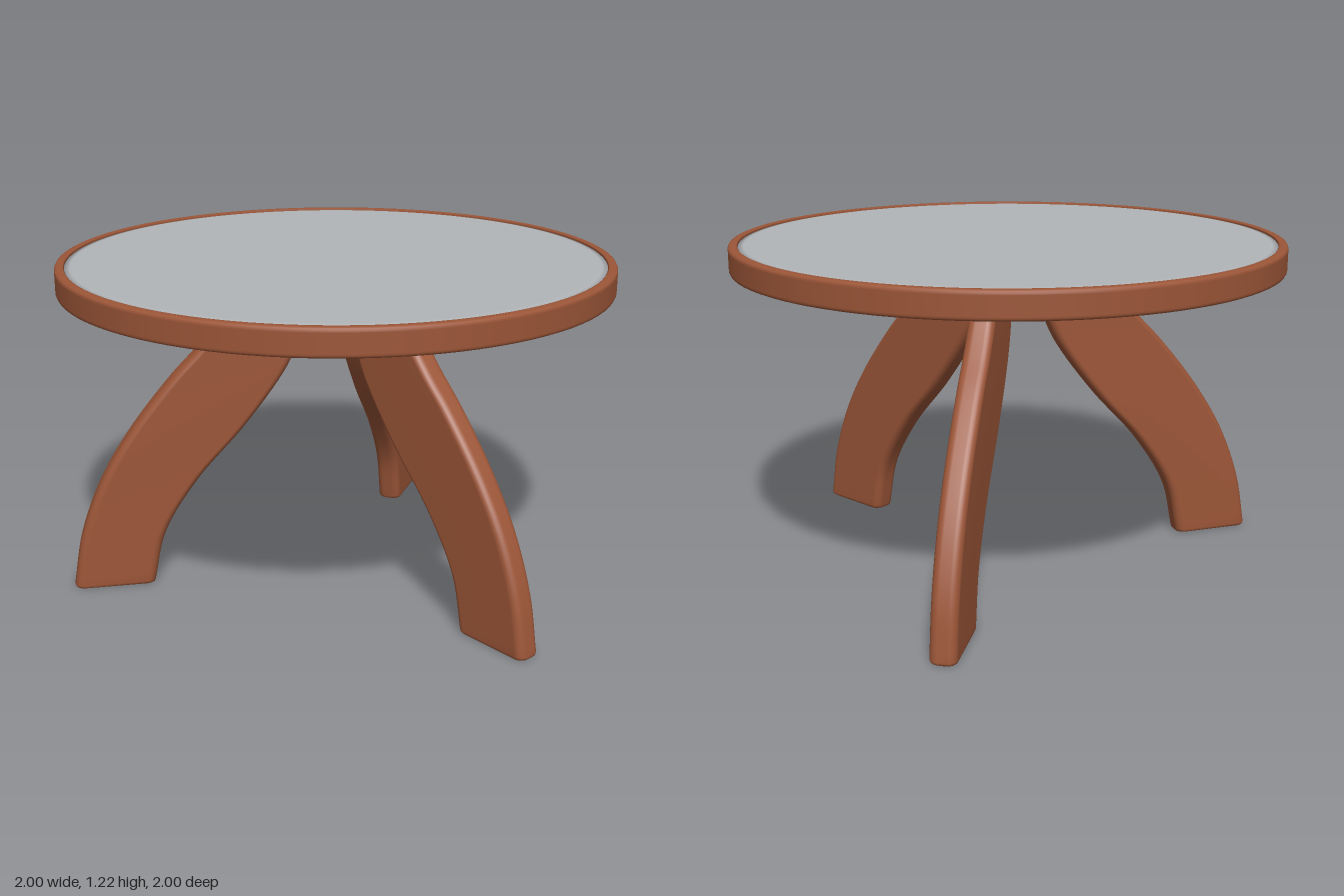
import * as THREE from 'three';

const wood = new THREE.MeshStandardMaterial({ color: 0x9c5638 });
wood.name = 'brown wood';
const glass = new THREE.MeshStandardMaterial({ color: 0xb2b5b8 });
glass.name = 'grey glass';

const HALF = 0.047; // half the thickness of a leg
const STEPS = 6;    // segments per rounded corner

// Rounded rectangle reaching from inner to outer radius at one height
function section([outer, y, inner], inset = 0) {
  const xo = outer - inset, xi = inner + inset, h = HALF - inset;
  const r = Math.min(0.03, (xo - xi) * 0.49);
  const ring = [];
  [[xo - r, h - r, 0], [xi + r, h - r, 1], [xi + r, r - h, 2], [xo - r, r - h, 3]].forEach(([cx, cz, q]) => {
    for (let i = 0; i <= STEPS; i++) {
      const t = (q + i / STEPS) * Math.PI / 2;
      ring.push([cx + r * Math.cos(t), y, cz + r * Math.sin(t)]);
    }
  });
  return ring;
}

// Skin over a stack of sections, with flat end caps
function loft(rings) {
  const n = rings[0].length;
  const pos = rings.flat(2);
  const index = [];
  for (let j = 0; j < rings.length - 1; j++) {
    for (let i = 0; i < n; i++) {
      const k = (i + 1) % n;
      const a = j * n + i, b = j * n + k, c = a + n, d = b + n;
      index.push(a, c, b, b, c, d);
    }
  }
  [rings[0], rings[rings.length - 1]].forEach((ring, top) => {
    const base = pos.length / 3;
    pos.push(...ring.flat());
    for (let i = 1; i < n - 1; i++) {
      if (top) index.push(base, base + i + 1, base + i);
      else index.push(base, base + i, base + i + 1);
    }
  });
  const geo = new THREE.BufferGeometry();
  geo.setAttribute('position', new THREE.Float32BufferAttribute(pos, 3));
  geo.setIndex(index);
  geo.computeVertexNormals();
  return geo;
}

function part(name, geometry, material) {
  const mesh = new THREE.Mesh(geometry, material);
  mesh.name = name;
  return mesh;
}

const lathe = (points) => new THREE.LatheGeometry(points.map(([x, y]) => new THREE.Vector2(x, y)), 96);

export function createModel() {
  const table = new THREE.Group();
  table.name = 'roundTable';

  // Wooden rim with softened edges
  table.add(part('rim', lathe([
    [0.966, 1.15], [0.966, 1.128], [0.97, 1.125], [0.974, 1.125], [0.99, 1.125], [0.997, 1.128], [1, 1.134],
    [1, 1.14], [1, 1.205], [1, 1.211], [0.997, 1.217], [0.99, 1.22], [0.974, 1.22], [0.969, 1.22],
    [0.966, 1.217], [0.966, 1.195],
  ]), wood));

  // Inset disc filling the rim
  table.add(part('glassTop', lathe([
    [0, 1.126], [0.93, 1.126], [0.945, 1.127], [0.967, 1.131],
    [0.967, 1.212], [0.945, 1.216], [0.93, 1.217], [0, 1.217],
  ]), glass));

  // Leg curve: outer radius, height, inner radius
  const curve = new THREE.CatmullRomCurve3([
    [1, 0.012, 0.7], [0.965, 0.2, 0.655], [0.89, 0.4, 0.53], [0.77, 0.6, 0.35], [0.61, 0.8, 0.2],
    [0.515, 0.9, 0.15], [0.437, 1, 0.12], [0.412, 1.07, 0.112],
  ].map((p) => new THREE.Vector3(...p)));
  const body = curve.getPoints(40).map((p) => section(p.toArray()));
  body.unshift(section([1, 0, 0.7], 0.006), section([1, 0.004, 0.7], 0.002));
  const bodyGeo = loft(body);

  // Two short posts rise from each leg, leaving a notch between them
  const outerPost = loft([[0.412, 1.06, 0.325], [0.411, 1.072, 0.336], [0.41, 1.085, 0.344], [0.41, 1.13, 0.346]]
    .map((s) => section(s)));
  const innerPost = loft([[0.17, 1.06, 0.113], [0.16, 1.072, 0.112], [0.152, 1.085, 0.111], [0.15, 1.13, 0.11]]
    .map((s) => section(s)));

  // Three legs, evenly spaced
  [['rightLeg', Math.PI], ['frontLeg', -Math.PI / 3], ['backLeg', Math.PI / 3]].forEach(([name, angle]) => {
    const leg = new THREE.Group();
    leg.name = name;
    leg.add(part('legBody', bodyGeo, wood), part('outerPost', outerPost, wood), part('innerPost', innerPost, wood));
    leg.rotation.y = angle;
    table.add(leg);
  });

  return table;
}
